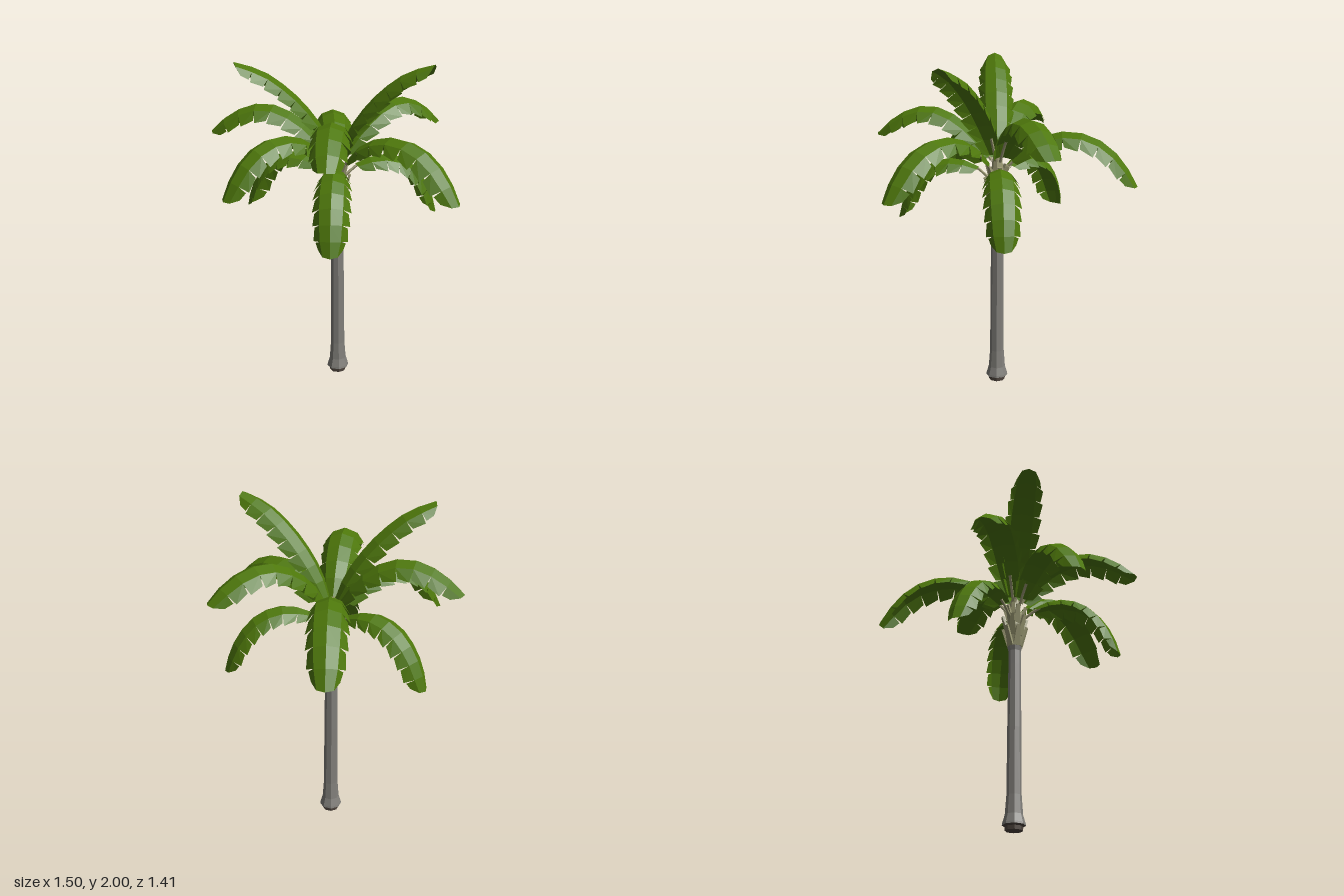
import * as THREE from 'three';

const mat = (name, color, side = THREE.FrontSide) => {
  const m = new THREE.MeshStandardMaterial({ color, flatShading: true, side });
  m.name = name;
  return m;
};

const SEGMENTS = 8;
// half widths of the blade at the segment borders, from base to tip
const WIDTHS = [0.06, 0.094, 0.11, 0.116, 0.118, 0.117, 0.112, 0.102, 0.074];

// four frond tiers: centre line as [radius, height], where the blade starts along it,
// its relative width, and [azimuth in degrees, reach] of each frond
const TIERS = [
  { name: 'lowFrond', start: 0.13, width: 0.93, line: [[0.03, 1.3], [0.14, 1.385], [0.3, 1.415], [0.44, 1.365], [0.54, 1.26], [0.6, 1.14], [0.63, 1.03]],
    fronds: [[-51, 1], [56.5, 1], [171, 1]] },
  { name: 'middleFrond', start: 0.08, width: 1, line: [[0.03, 1.36], [0.18, 1.52], [0.33, 1.588], [0.47, 1.595], [0.62, 1.54], [0.74, 1.43], [0.83, 1.28]],
    fronds: [[-130, 1], [0, 1], [110, 0.9]] },
  { name: 'upperFrond', start: 0.03, width: 1, line: [[0.03, 1.42], [0.12, 1.56], [0.25, 1.67], [0.4, 1.725], [0.52, 1.71], [0.65, 1.645], [0.755, 1.55]],
    fronds: [[-70.5, 1], [57, 1], [152.5, 1]] },
  { name: 'crownFrond', start: 0.04, width: 0.93, line: [[0.01, 1.42], [0.07, 1.58], [0.18, 1.74], [0.3, 1.86], [0.43, 1.95], [0.58, 2.0]],
    fronds: [[-15, 1], [130.5, 1]] },
];

// folded blade whose outer edge steps in at every segment and rounds off at the tip
function bladeGeometry(curve, start, width) {
  const pos = [];
  const at = (t, across, drop, side) => {
    const p = curve.getPointAt(t), tan = curve.getTangentAt(t);
    return [p.x + tan.y * drop, p.y - tan.x * drop, side * across];
  };
  const quad = (a, b, c, d, side) => {
    const tris = side > 0 ? [a, d, c, a, c, b] : [a, c, d, a, b, c];
    tris.forEach(v => pos.push(...v));
  };
  const step = (1 - start) / SEGMENTS;
  for (let i = 0; i < SEGMENTS; i++) {
    const t0 = start + i * step, t1 = Math.min(t0 + step, 1);
    const w0 = WIDTHS[i] * width, w1 = WIDTHS[i + 1] * width;
    const last = i === SEGMENTS - 1;
    const notch = i ? 0.87 : 1;
    for (const side of [-1, 1]) {
      const ridge0 = at(t0, 0, 0, side), ridge1 = at(t1, 0, 0, side);
      const fold0 = at(t0, w0 * 0.6, w0 * 0.22, side);
      const fold1 = at(last ? t1 - 0.01 : t1, w1 * 0.6, w1 * 0.22, side);
      const edge0 = at(t0 + 0.012, w0 * notch, w0 * 0.76 * notch, side);
      const edge1 = at(last ? t1 - 0.05 : t1, w1, w1 * 0.76, side);
      quad(ridge0, ridge1, fold1, fold0, side);
      quad(fold0, fold1, edge1, edge0, side);
    }
  }
  const g = new THREE.BufferGeometry();
  g.setAttribute('position', new THREE.Float32BufferAttribute(pos, 3));
  g.computeVertexNormals();
  return g;
}

export function createModel() {
  const leaf = mat('leaf green', 0x4e780b, THREE.DoubleSide);
  const bark = mat('bark grey', 0x82807b);
  const root = mat('root brown', 0x50463e);
  const stalk = mat('stalk olive', 0x9b9973);

  const model = new THREE.Group();
  model.name = 'palmTree';
  const tree = new THREE.Group();
  tree.name = 'tree';
  tree.position.set(-0.077, 0, 0.008);
  model.add(tree);

  const add = (name, geometry, material, parent = tree) => {
    const mesh = new THREE.Mesh(geometry, material);
    mesh.name = name;
    parent.add(mesh);
    return mesh;
  };
  const lathe = pts => new THREE.LatheGeometry(pts.map(p => new THREE.Vector2(...p)), 8);

  // trunk with its flared foot
  add('rootCollar', lathe([[0, 0], [0.05, 0], [0.052, 0.022], [0.067, 0.03]]), root);
  add('trunk', lathe([[0.067, 0.03], [0.065, 0.042], [0.051, 0.09], [0.043, 0.2], [0.041, 0.6],
    [0.037, 1.0], [0.037, 1.09], [0.044, 1.12], [0, 1.125]]), bark);
  add('crownCore', lathe([[0.04, 1.12], [0.047, 1.22], [0.036, 1.36], [0.026, 1.44], [0, 1.46]]), stalk);

  // overlapping stubs of old leaf stalks, leaning outward
  [[1.12, 0.036, 0.13], [1.19, 0.04, 0.13], [1.27, 0.032, 0.12]].forEach(([y, r, h], tier) => {
    for (let i = 0; i < 6; i++) {
      const holder = new THREE.Group();
      holder.name = 'stubHolder';
      holder.rotation.y = (i + tier / 2) * Math.PI / 3;
      const g = new THREE.BoxGeometry(0.014, h, 0.042);
      g.translate(0, h / 2, 0);
      const p = g.attributes.position;
      for (let k = 0; k < p.count; k++) if (p.getY(k) > h / 2) p.setZ(k, p.getZ(k) * 0.5);
      const stub = add('stalkStub', g, stalk, holder);
      stub.position.set(r, y, 0);
      stub.rotation.z = -0.29;
      tree.add(holder);
    }
  });

  // fronds: a stalk under a folded blade
  for (const { name, start, width, line, fronds } of TIERS) {
    const curve = new THREE.CatmullRomCurve3(line.map(([r, y]) => new THREE.Vector3(r, y, 0)));
    const blade = bladeGeometry(curve, start, width);
    const stem = new THREE.CatmullRomCurve3([0, 0.06, 0.12, 0.18].map(t => {
      const p = curve.getPointAt(t), tan = curve.getTangentAt(t);
      return p.add(new THREE.Vector3(tan.y, -tan.x, 0).multiplyScalar(0.012));
    }));
    const stemGeometry = new THREE.TubeGeometry(stem, 5, 0.009, 5);
    for (const [azimuth, reach] of fronds) {
      const frond = new THREE.Group();
      frond.name = name;
      frond.rotation.y = -THREE.MathUtils.degToRad(azimuth);
      frond.scale.x = reach;
      add('blade', blade, leaf, frond);
      add('stem', stemGeometry, stalk, frond);
      tree.add(frond);
    }
  }
  return model;
}
